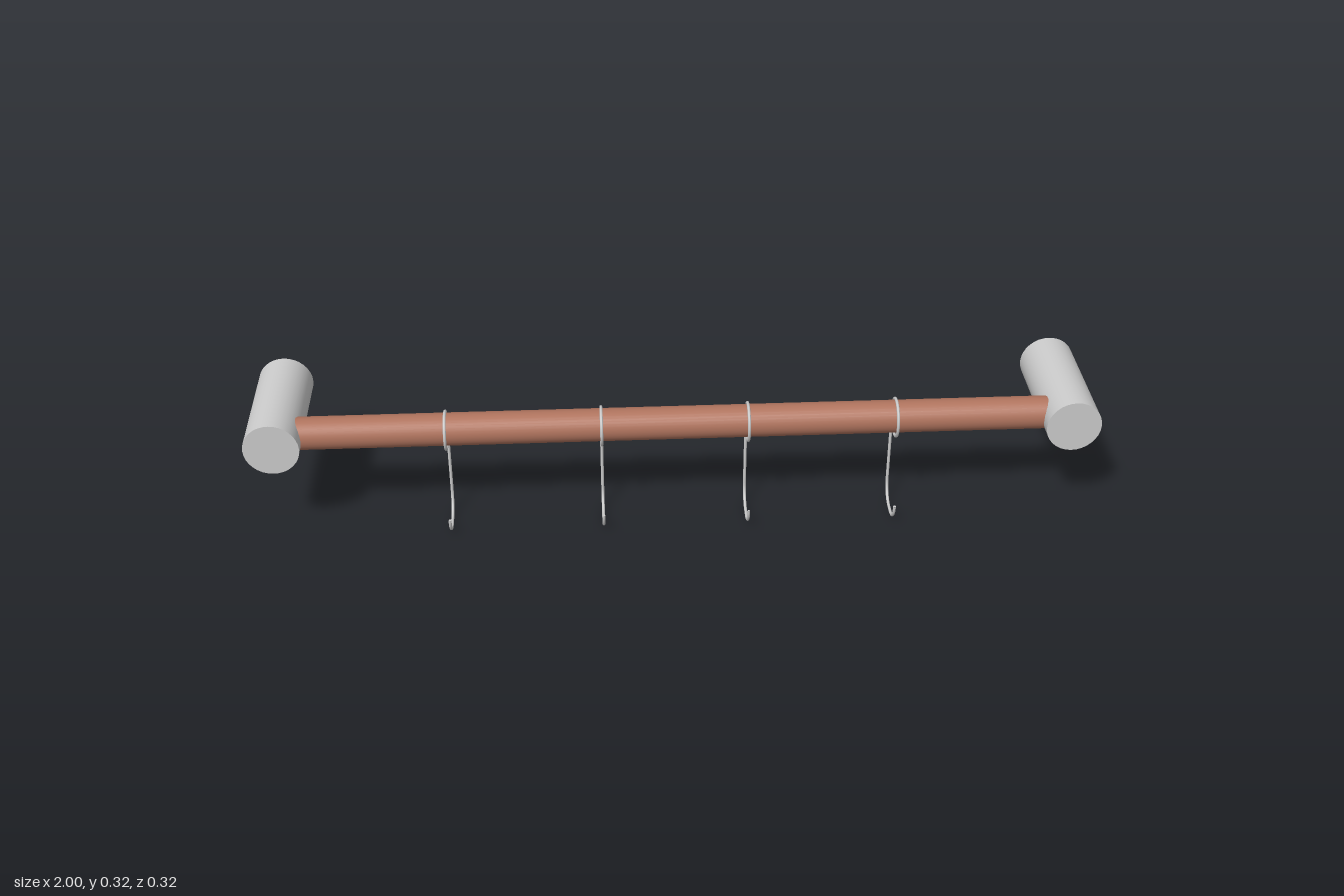
import * as THREE from 'three';

const AXIS_Y = 0.258;
const WIRE = 0.0036;

export function createModel() {
  const model = new THREE.Group();
  model.name = 'hookRail';
  const grey = new THREE.MeshStandardMaterial({ color: 0xcccccc });
  const wood = new THREE.MeshStandardMaterial({ color: 0xb0745e });

  const add = (parent, name, geometry, material, x, y, z) => {
    const mesh = new THREE.Mesh(geometry, material);
    mesh.name = name;
    mesh.position.set(x, y, z);
    parent.add(mesh);
    return mesh;
  };

  // Round wooden bar, its ends sunk into the wall mounts
  const barGeometry = new THREE.CylinderGeometry(0.039, 0.039, 1.8, 32).rotateZ(Math.PI / 2);
  add(model, 'bar', barGeometry, wood, 0, AXIS_Y, 0.076);

  // Thick wall mounts running front to back
  const mountGeometry = new THREE.CylinderGeometry(0.065, 0.065, 0.303, 32).rotateX(Math.PI / 2);
  add(model, 'leftMount', mountGeometry, grey, 0.935, AXIS_Y, -0.0065);
  add(model, 'rightMount', mountGeometry, grey, -0.935, AXIS_Y, -0.0065);

  // Wire path: straight stem behind the bar, then a J opening to the front
  const at = (z, y) => new THREE.Vector3(0, y, z);
  const path = new THREE.CurvePath();
  const bend = (cz, cy, r, from, to) => {
    const points = [];
    for (let i = 0; i <= 8; i++) {
      const a = from + (to - from) * i / 8;
      points.push(at(cz + r * Math.cos(a), cy + r * Math.sin(a)));
    }
    return new THREE.CatmullRomCurve3(points);
  };
  const r = 0.049, low = r + WIRE;
  path.add(new THREE.LineCurve3(at(0.036, AXIS_Y), at(0.036, low)));
  path.add(bend(0.085, low, r, Math.PI, Math.PI * 1.5));
  path.add(new THREE.LineCurve3(at(0.085, WIRE), at(0.107, WIRE)));
  path.add(bend(0.107, low, r, Math.PI * 1.5, Math.PI * 2));

  const wireGeometry = new THREE.TubeGeometry(path, 90, WIRE, 8);
  const ringGeometry = new THREE.TorusGeometry(0.045, WIRE, 8, 40).rotateY(Math.PI / 2);
  const capGeometry = new THREE.CircleGeometry(WIRE, 8).rotateX(-Math.PI / 2);

  // Four hooks, each hung from a ring around the bar
  for (const x of [-0.537, -0.173, 0.172, 0.522]) {
    const hook = new THREE.Group();
    hook.name = 'hook';
    hook.position.x = x;
    add(hook, 'hookRing', ringGeometry, grey, 0, AXIS_Y, 0.081);
    add(hook, 'hookWire', wireGeometry, grey, 0, 0, 0);
    add(hook, 'hookTip', capGeometry, grey, 0, low, 0.107 + r);
    model.add(hook);
  }
  return model;
}
